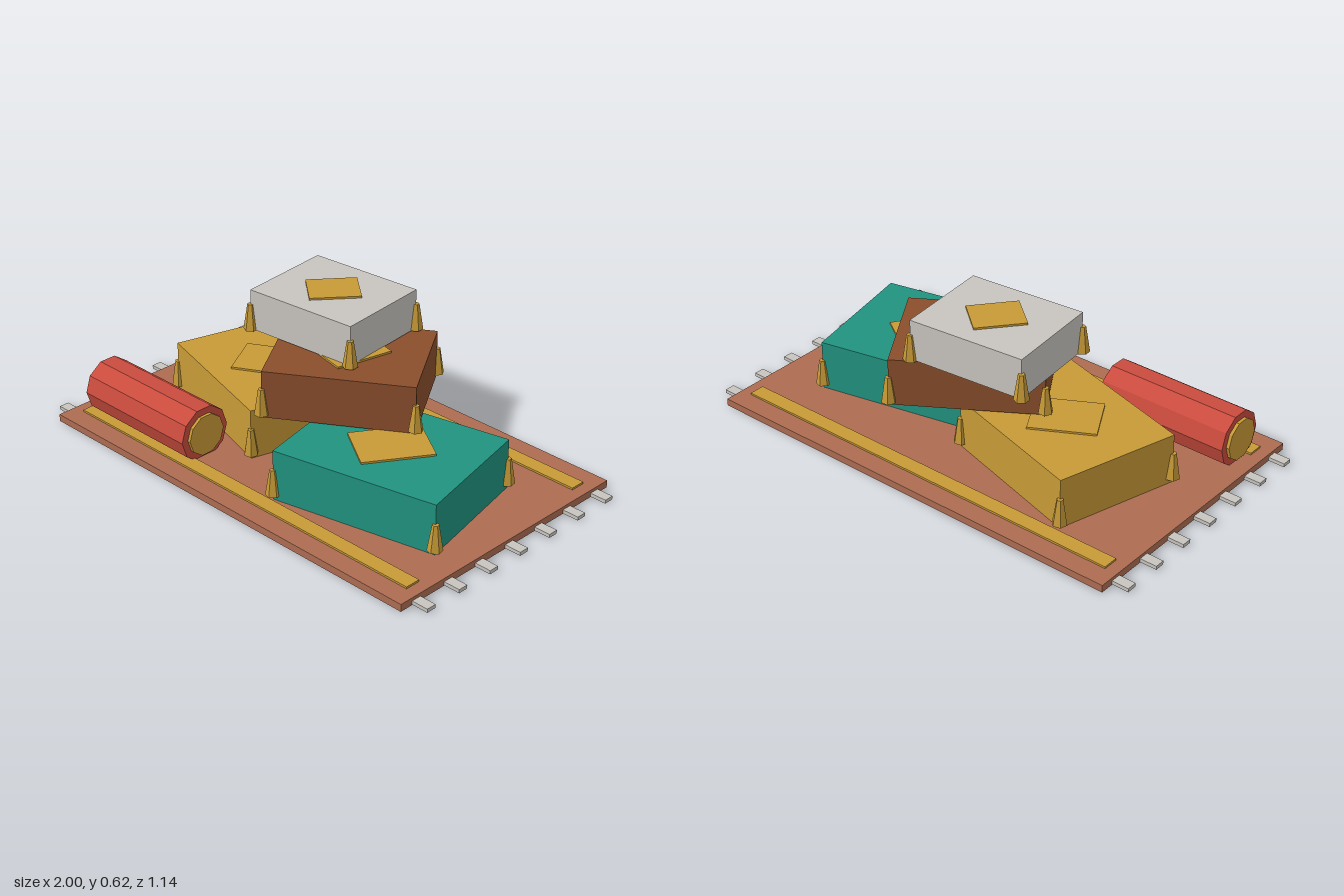
import * as THREE from 'three';

const mat = (name, color) => {
  const m = new THREE.MeshStandardMaterial({ color });
  m.name = name;
  m.flatShading = true;
  return m;
};

export function createModel() {
  const rugMat = mat('terracotta', 0xad6c52);
  const gold = mat('gold', 0xc79a36);
  const teal = mat('teal', 0x21937f);
  const brown = mat('brown', 0x8a4e2b);
  const pale = mat('pale grey', 0xc8c4be);
  const red = mat('red', 0xc94b3d);

  const model = new THREE.Group();
  model.name = 'cushionPile';

  const add = (parent, name, geometry, material, x, y, z) => {
    const mesh = new THREE.Mesh(geometry, material);
    mesh.name = name;
    mesh.position.set(x, y, z);
    parent.add(mesh);
    return mesh;
  };

  // Rug with two long stripes and fringe on both short ends
  const rug = new THREE.Group();
  rug.name = 'rug';
  model.add(rug);
  add(rug, 'rugBase', new THREE.BoxGeometry(1.86, 0.03, 1.14), rugMat, 0, 0.015, 0);
  const fringeGeo = new THREE.BoxGeometry(0.07, 0.015, 0.042);
  for (const side of [-1, 1]) {
    add(rug, 'rugStripe', new THREE.BoxGeometry(1.76, 0.009, 0.064), gold, 0, 0.0335, side * 0.456);
    for (let i = -3; i <= 3; i++) {
      add(rug, 'fringe', fringeGeo, pale, side * 0.965, 0.0095, i * 0.164);
    }
  }

  // Box cushions: a turned top patch and a tassel at each corner
  const tasselGeo = new THREE.CylinderGeometry(0.013, 0.03, 0.107, 6);
  const cushion = (name, material, [x, z], [w, h, d], bottom, turn) => {
    const g = new THREE.Group();
    g.name = name;
    g.position.set(x, bottom + h / 2, z);
    g.rotation.y = turn;
    model.add(g);
    add(g, 'cushionBody', new THREE.BoxGeometry(w, h, d), material, 0, 0, 0);
    const patch = add(g, 'topPatch', new THREE.BoxGeometry(w * 0.41, 0.009, d * 0.41), gold, 0, h / 2 + 0.0035, 0);
    patch.rotation.y = Math.PI / 4;
    for (const sx of [-1, 1]) {
      for (const sz of [-1, 1]) {
        add(g, 'tassel', tasselGeo, gold, sx * w / 2, -0.03, sz * d / 2);
      }
    }
  };
  cushion('goldCushion', gold, [-0.375, -0.07], [0.64, 0.208, 0.514], 0.031, -0.277);
  cushion('tealCushion', teal, [0.415, 0.073], [0.69, 0.208, 0.54], 0.031, 0.212);
  cushion('brownCushion', brown, [0.058, -0.079], [0.587, 0.195, 0.465], 0.246, 0.567);
  cushion('paleCushion', pale, [-0.113, -0.157], [0.49, 0.166, 0.404], 0.447, 0.096);

  // Bolster lying along x, with a gold disc on each end
  const bolster = new THREE.Group();
  bolster.name = 'bolster';
  bolster.position.set(-0.57, 0.125, 0.37);
  model.add(bolster);
  const roll = (r, len) => new THREE.CylinderGeometry(r, r, len, 10).rotateZ(Math.PI / 2);
  add(bolster, 'bolsterBody', roll(0.115, 0.572), red, 0, 0, 0);
  for (const side of [-1, 1]) {
    add(bolster, 'bolsterEnd', roll(0.086, 0.02), gold, side * 0.289, 0, 0);
  }

  return model;
}
